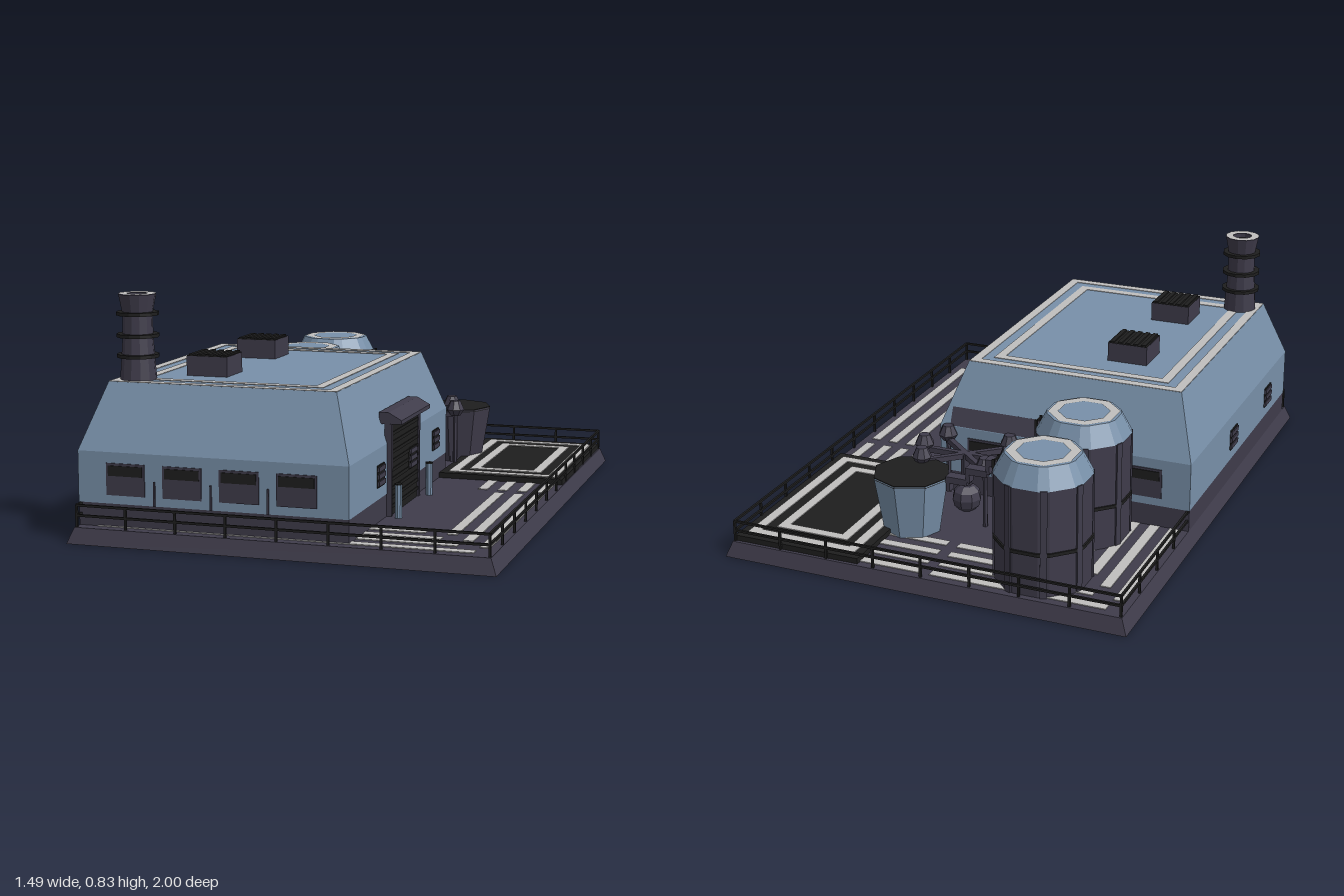
import * as THREE from 'three';

const mat = (name, color) => Object.assign(new THREE.MeshStandardMaterial({ color }), { name });

export function createModel() {
  const blue = mat('slate blue', 0x7890a9), dark = mat('dark violet grey', 0x3f3c4b);
  const black = mat('soot black', 0x1e1e1e), grey = mat('marking grey', 0xc0bfbe);
  const root = new THREE.Group();
  root.name = 'factory';

  const group = (name, parent = root) => {
    const g = new THREE.Group();
    g.name = name;
    parent.add(g);
    return g;
  };
  // Adds a faceted mesh
  const add = (name, geo, m, x = 0, y = 0, z = 0, parent = root) => {
    const flat = geo.index ? geo.toNonIndexed() : geo;
    flat.computeVertexNormals();
    const mesh = new THREE.Mesh(flat, m);
    mesh.name = name;
    mesh.position.set(x, y, z);
    parent.add(mesh);
    return mesh;
  };
  // Box given by its limits
  const box = (name, m, x0, x1, y0, y1, z0, z1, parent) =>
    add(name, new THREE.BoxGeometry(x1 - x0, y1 - y0, z1 - z0), m,
      (x0 + x1) / 2, (y0 + y1) / 2, (z0 + z1) / 2, parent);
  // Box with its top drawn in by dx and dz, built only from the listed faces (+x -x +y -y +z -z)
  const shell = (name, m, x0, x1, y0, y1, z0, z1, dx, dz, faces) => {
    const g = new THREE.BoxGeometry(x1 - x0, y1 - y0, z1 - z0), p = g.attributes.position;
    for (let i = 0; i < p.count; i++) if (p.getY(i) > 0) {
      p.setX(i, p.getX(i) - Math.sign(p.getX(i)) * dx);
      p.setZ(i, p.getZ(i) - Math.sign(p.getZ(i)) * dz);
    }
    const index = Array.from(g.index.array);
    g.setIndex(faces.flatMap(f => index.slice(f * 6, f * 6 + 6)));
    return add(name, g, m, (x0 + x1) / 2, (y0 + y1) / 2, (z0 + z1) / 2);
  };
  const cyl = (name, m, rt, rb, y0, y1, x, z, sides, parent) =>
    add(name, new THREE.CylinderGeometry(rt, rb, y1 - y0, sides), m, x, (y0 + y1) / 2, z, parent);
  // Painted rectangular outline of width w
  const frame = (name, x0, x1, z0, z1, y, w) => {
    const g = group(name), t = y + 0.003;
    box('frameBack', grey, x0, x1, y, t, z0, z0 + w, g);
    box('frameFront', grey, x0, x1, y, t, z1 - w, z1, g);
    box('frameRight', grey, x0, x0 + w, y, t, z0 + w, z1 - w, g);
    box('frameLeft', grey, x1 - w, x1, y, t, z0 + w, z1 - w, g);
  };

  // Base slab
  const G = 0.055;
  shell('baseSlab', dark, -0.745, 0.745, 0, G, -1, 1, 0.022, 0.018, [0, 1, 2, 3, 4, 5]);

  // Ground markings
  const marks = group('groundMarkings');
  const mark = (x0, x1, z0, z1) => box('stripe', grey, x0, x1, G, G + 0.003, z0, z1, marks);
  for (let i = 0; i < 4; i++) {
    const s = i * 0.074;
    mark(0.435 + s, 0.47 + s, -0.19, -0.026);
    if (i) mark(0.435 + s, 0.47 + s, 0.016, 0.64 + s);
    mark(i === 3 ? -0.655 : 0.24, 0.435 + s, 0.684 + s, 0.721 + s);
    mark(-0.655 + s, -0.02, -0.95 + s, -0.915 + s);
    mark(0.02, 0.24, -0.95 + s, -0.915 + s);
    mark(-0.692 + s, -0.655 + s, -0.878 + s, -0.3);
  }

  // Loading pad
  box('loadingPad', black, 0.24, 0.718, G, 0.075, -0.97, -0.195);
  frame('padOuterFrame', 0.27, 0.69, -0.935, -0.225, 0.075, 0.036);
  frame('padInnerFrame', 0.337, 0.616, -0.86, -0.295, 0.075, 0.036);

  // Main hall as an open shell
  shell('hallPlinth', dark, -0.724, 0.239, G, 0.135, -0.296, 0.937, 0, 0, [0, 1, 4, 5]);
  shell('hallWalls', blue, -0.725, 0.24, 0.135, 0.312, -0.297, 0.938, 0, 0, [0, 1, 4, 5]);
  shell('hallRoof', blue, -0.725, 0.24, 0.312, 0.537, -0.297, 0.938, 0.074, 0.098, [0, 1, 2, 4, 5]);
  frame('roofOuterStripe', -0.65, 0.165, -0.198, 0.839, 0.536, 0.034);
  frame('roofInnerStripe', -0.58, 0.095, -0.133, 0.766, 0.536, 0.034);
  // Patch along the foot of the back roof slope
  const patch = box('roofPatch', dark, -0.2, 0.2, -0.035, 0.035, -0.002, 0.002);
  patch.position.set(0, 0.346, -0.282);
  patch.rotation.x = Math.atan2(0.098, 0.225);

  // Roof vents with ribbed tops
  for (const z of [0.075, 0.56]) {
    const g = group('roofVent');
    box('ventBody', dark, -0.45, -0.3, 0.537, 0.606, z - 0.073, z + 0.073, g);
    box('ventTop', black, -0.449, -0.301, 0.606, 0.608, z - 0.072, z + 0.072, g);
    for (let i = 0; i < 5; i++)
      box('ventRib', black, -0.443 + i * 0.03, -0.427 + i * 0.03, 0.608, 0.613, z - 0.07, z + 0.07, g);
  }

  // Chimney
  const chimney = group('chimney');
  chimney.position.set(-0.575, 0, 0.76);
  const stack = [[0.036, 0.8], [0.036, 0.832], [0.065, 0.832], [0.052, 0.765], [0.053, 0.68], [0.064, 0.53]];
  const pts = stack.map(p => new THREE.Vector2(...p)).reverse();
  add('stack', new THREE.LatheGeometry(pts, 12), dark, 0, 0, 0, chimney);
  const rim = add('stackRim', new THREE.RingGeometry(0.036, 0.065, 12), grey, 0, 0.834, 0, chimney);
  rim.rotation.x = -Math.PI / 2;
  cyl('stackMouth', black, 0.037, 0.037, 0.79, 0.815, 0, 0, 12, chimney);
  for (const y of [0.62, 0.69, 0.765]) cyl('stackBand', black, 0.073, 0.073, y - 0.006, y + 0.006, 0, 0, 12, chimney);

  // Windows on the front and back walls
  for (const x of [-0.55, -0.345, -0.142, 0.06]) for (const s of [1, -1]) {
    const g = group('window');
    g.position.set(x, 0, s > 0 ? 0.936 : -0.295);
    g.rotation.y = s > 0 ? 0 : Math.PI;
    box('windowPanel', dark, -0.07, 0.07, 0.165, 0.275, 0, 0.006, g);
    box('windowGlass', black, -0.062, 0.062, 0.232, 0.267, 0.004, 0.009, g);
  }
  for (const x of [-0.445, -0.242, -0.04])
    box('wallConduit', dark, x - 0.003, x + 0.003, 0.135, 0.22, 0.936, 0.944);

  // Louvres on the side walls
  const louvre = (x, z, s) => {
    const g = group('louvre');
    g.position.set(x, 0, z);
    box('louvrePanel', black, -0.003, 0.003, 0.178, 0.255, -0.04, 0.04, g);
    for (let i = 0; i < 3; i++) {
      const slat = box('louvreSlat', dark, -0.004, 0.004, 0.183 + i * 0.025, 0.2 + i * 0.025, -0.04, 0.04, g);
      slat.position.x = s * 0.003;
    }
  };
  louvre(0.242, 0.59, 1);
  louvre(0.254, 0.232, 1);
  louvre(0.242, -0.128, 1);
  louvre(-0.727, 0.22, -1);
  louvre(-0.727, 0.68, -1);

  // Roller door with sloped canopy
  const door = group('loadingDoor');
  box('doorPanel', black, 0.23, 0.25, G, 0.38, 0.15, 0.492, door);
  for (const z of [0.137, 0.492]) box('doorJamb', dark, 0.23, 0.256, G, 0.38, z, z + 0.016, door);
  for (let i = 0; i < 9; i++) box('doorRib', black, 0.25, 0.253, 0.08 + i * 0.032, 0.092 + i * 0.032, 0.155, 0.487, door);
  const awning = new THREE.Shape([[0.21, 0.38], [0.292, 0.38], [0.292, 0.394], [0.245, 0.42], [0.21, 0.42]]
    .map(p => new THREE.Vector2(...p)));
  add('canopy', new THREE.ExtrudeGeometry(awning, { depth: 0.37, bevelEnabled: false }), dark, 0, 0, 0.137, door);
  for (const z of [0.118, 0.52]) {
    cyl('bollard', blue, 0.013, 0.013, G, 0.172, 0.285, z, 8, door);
    cyl('bollardCap', black, 0.014, 0.014, 0.172, 0.177, 0.285, z, 8, door);
  }

  // Storage tanks: octagons with chamfered corners
  const chamfered = (name, m, rt, rb, y0, y1, open, g) => {
    const geo = new THREE.CylinderGeometry(rt, rb, y1 - y0, 16, 1, open), p = geo.attributes.position;
    for (let i = 0; i < p.count; i++) {
      const x = p.getX(i), z = p.getZ(i), r = Math.hypot(x, z);
      if (r < 1e-5) continue;
      const k = Math.round(Math.atan2(x, z) / (Math.PI / 8));
      const a = (k * 22.5 + (k % 2 === 0 ? 15.5 : 7)) * Math.PI / 180;
      p.setX(i, r * Math.sin(a));
      p.setZ(i, r * Math.cos(a));
    }
    add(name, geo, m, 0, (y0 + y1) / 2, 0, g);
  };
  for (const z of [-0.43, -0.8]) {
    const g = group('storageTank');
    g.position.set(-0.375, 0, z);
    chamfered('tankBody', dark, 0.165, 0.165, G, 0.44, true, g);
    chamfered('tankShoulder', blue, 0.13, 0.168, 0.438, 0.51, false, g);
    chamfered('tankBand', black, 0.171, 0.171, 0.205, 0.217, false, g);
    const ring = add('tankTopStripe', new THREE.RingGeometry(0.09, 0.126, 8, 1, Math.PI / 8), grey, 0, 0.512, 0, g);
    ring.rotation.x = -Math.PI / 2;
    // Corner ribs
    for (let i = 0; i < 8; i++) {
      const a = (i + 0.5) * Math.PI / 4;
      const rib = box('tankRib', dark, -0.012, 0.012, G, 0.44, -0.005, 0.005, g);
      rib.position.set(0.165 * Math.sin(a), (G + 0.44) / 2, 0.165 * Math.cos(a));
      rib.rotation.y = a;
    }
    // Ladder
    for (const s of [-1, 1]) box('ladderRail', black, 0.165, 0.175, G, 0.46, s * 0.022 - 0.003, s * 0.022 + 0.003, g);
    for (let y = 0.09; y < 0.46; y += 0.045) box('ladderRung', black, 0.167, 0.173, y, y + 0.006, -0.022, 0.022, g);
  }

  // Stepped duct descending from the tanks to the hopper
  const pipes = group('pipework');
  for (let i = 0; i < 4; i++) {
    const x = -0.25 + i * 0.076, y = 0.4 - i * 0.045;
    box('ductStep', dark, x, x + 0.08, y - 0.012, y + 0.012, -0.643, -0.601, pipes);
    box('ductRiser', dark, x + 0.066, x + 0.08, y - 0.045, y, -0.64, -0.604, pipes);
  }
  box('pipeBridge', black, -0.19, -0.15, 0.272, 0.29, -0.6, -0.28, pipes);
  for (const z of [-0.58, -0.33]) box('bridgePost', black, -0.176, -0.164, G, 0.272, z - 0.006, z + 0.006, pipes);

  // Valve cluster around a pump
  const valves = group('valveCluster');
  valves.position.set(0.08, 0, -0.42);
  add('pump', new THREE.SphereGeometry(0.055, 8, 6), dark, 0, 0.1, 0, valves);
  cyl('pumpRiser', dark, 0.02, 0.02, 0.12, 0.27, 0, 0, 6, valves);
  for (const deg of [0, 42, 138, 180, 222, 318]) {
    const arm = group('valveArm', valves);
    arm.rotation.y = deg * Math.PI / 180;
    box('armPipe', dark, 0, 0.165, 0.255, 0.275, -0.01, 0.01, arm);
    cyl('valvePost', dark, 0.009, 0.009, G, 0.28, 0.165, 0, 6, arm);
    cyl('valveCap', dark, 0.02, 0.036, 0.285, 0.32, 0.165, 0, 8, arm);
    cyl('valveSeat', dark, 0.036, 0.02, 0.262, 0.285, 0.165, 0, 8, arm);
  }

  // Hopper
  const hopper = group('hopper');
  hopper.position.set(0.195, 0, -0.63);
  for (const [name, m, start] of [['hopperFront', dark, -Math.PI / 2], ['hopperBack', blue, Math.PI / 2]])
    add(name, new THREE.CylinderGeometry(0.14, 0.105, 0.21, 4, 1, true, start, Math.PI), m, 0, 0.16, 0, hopper);
  cyl('hopperLid', black, 0.14, 0.139, 0.258, 0.268, 0, 0, 8, hopper);

  // Perimeter railing
  const railing = group('railing'), X = 0.717, Z = 0.973, r = 0.004;
  for (const s of [-1, 1]) {
    for (const y of [0.095, 0.13]) {
      box('railAcross', black, -X, X, y - r, y + r, s * Z - r, s * Z + r, railing);
      box('railAlong', black, s * X - r, s * X + r, y - r, y + r, -Z, Z, railing);
    }
    for (let i = 0; i <= 8; i++) {
      const x = -X + i * X / 4;
      box('postAcross', black, x - r, x + r, G, 0.13, s * Z - r, s * Z + r, railing);
    }
    for (let i = 1; i < 11; i++) {
      const z = -Z + i * Z * 2 / 11;
      box('postAlong', black, s * X - r, s * X + r, G, 0.13, z - r, z + r, railing);
    }
  }
  return root;
}
